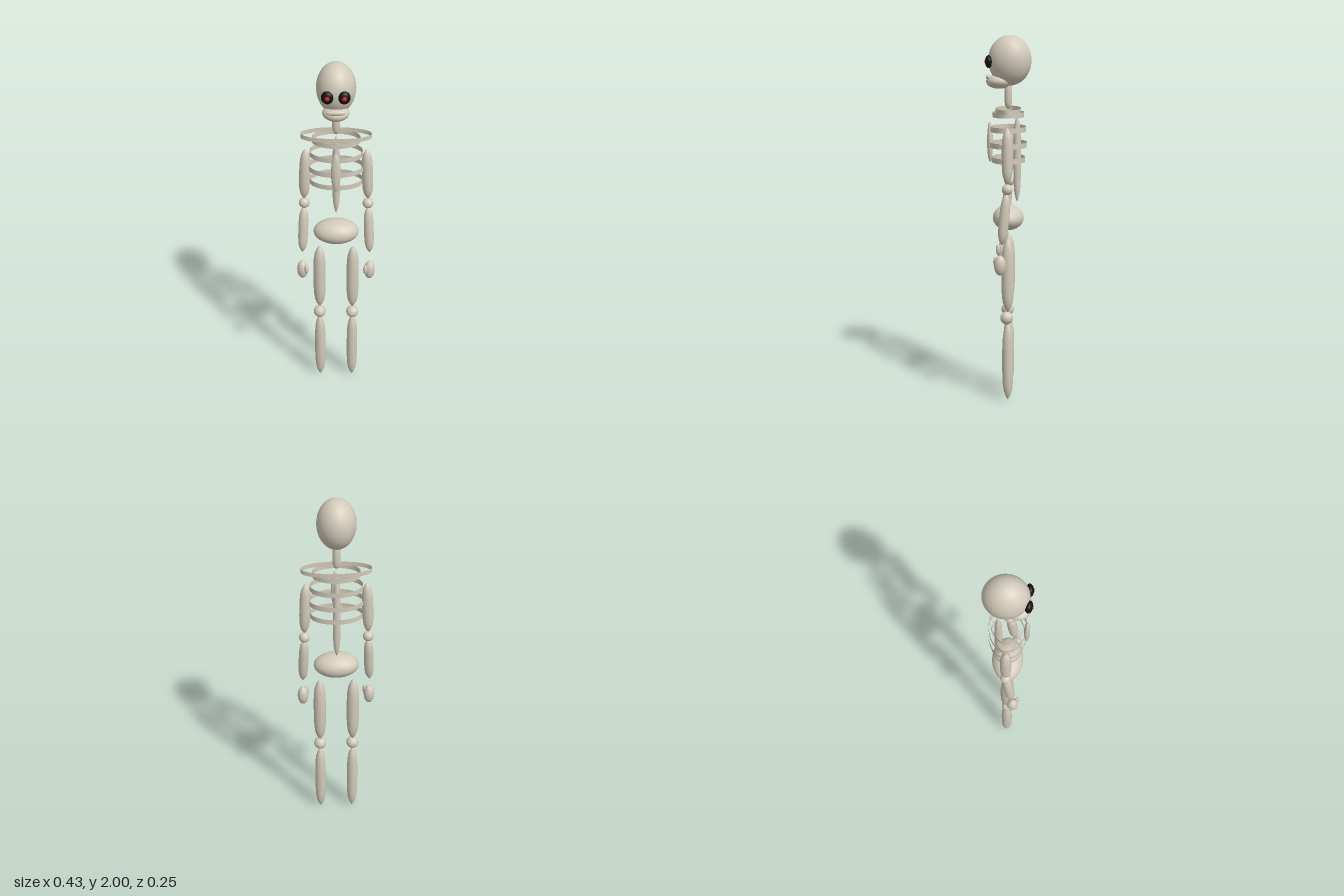
import * as THREE from 'three';

export function createModel() {
  const model = new THREE.Group();
  model.name = 'skeleton';

  const mat = (name, color, side = THREE.FrontSide) => {
    const m = new THREE.MeshStandardMaterial({ color, side });
    m.name = name;
    return m;
  };
  const bone = mat('bone', 0xd3cbba, THREE.DoubleSide);
  const socket = mat('eye socket black', 0x121212);
  const glow = mat('eye red', 0xe82020);

  const add = (name, geometry, material, pos) => {
    const mesh = new THREE.Mesh(geometry, material);
    mesh.name = name;
    mesh.position.set(...pos);
    model.add(mesh);
    return mesh;
  };

  // Rounded lump with a radius for each axis
  const ball = (name, pos, [rx, ry, rz], material = bone) =>
    add(name, new THREE.SphereGeometry(1, 32, 20).scale(rx, ry, rz), material, pos);

  // Long bone: full in the middle, pointed at both ends, running from a to b
  const profile = [[0, 0], [0.03, 0.27], [0.07, 0.53], [0.13, 0.77], [0.22, 0.92], [0.35, 0.99], [0.5, 1]];
  const outline = [...profile, ...profile.slice(0, -1).reverse().map(([t, r]) => [1 - t, r])];
  const longBone = (name, from, to, radius) => {
    const a = new THREE.Vector3(...from), b = new THREE.Vector3(...to);
    const length = a.distanceTo(b);
    const points = outline.map(([t, r]) => new THREE.Vector2(r * radius, (t - 0.5) * length));
    const mesh = add(name, new THREE.LatheGeometry(points, 18), bone, a.clone().add(b).multiplyScalar(0.5).toArray());
    mesh.quaternion.setFromUnitVectors(new THREE.Vector3(0, 1, 0), b.sub(a).normalize());
    return mesh;
  };

  // Thin oval band, open above and below
  const band = (name, y, rx, rz, height) =>
    add(name, new THREE.CylinderGeometry(1, 1, height, 40, 1, true).scale(rx, 1, rz), bone, [0, y, 0]);

  // Head
  ball('skull', [0, 1.866, -0.008], [0.102, 0.134, 0.116]);
  ball('jaw', [0, 1.754, 0.05], [0.07, 0.039, 0.069]);
  ball('teeth', [0, 1.777, 0.105], [0.05, 0.014, 0.014]);

  // Neck, spine and breastbone
  longBone('neck', [0, 1.605, 0], [0, 1.76, 0], 0.021);
  longBone('spine', [0, 1.1, -0.048], [0, 1.575, -0.048], 0.021);
  ball('breastbone', [0, 1.43, 0.099], [0.025, 0.11, 0.016]);

  // Collar and ribs
  band('collarBand', 1.6, 0.185, 0.068, 0.024);
  band('upperRib', 1.578, 0.126, 0.085, 0.027);
  band('rib1', 1.5, 0.14, 0.096, 0.028);
  band('rib2', 1.416, 0.146, 0.1, 0.028);
  band('rib3', 1.336, 0.14, 0.09, 0.028);

  // Pelvis
  ball('pelvis', [0, 1.014, 0], [0.124, 0.068, 0.085]);

  for (const [side, s] of [['left', 1], ['right', -1]]) {
    // Eyes
    ball(side + 'EyeSocket', [s * 0.043, 1.86, 0.103], [0.031, 0.034, 0.019], socket).rotation.y = s * 0.15;
    ball(side + 'Eye', [s * 0.042, 1.86, 0.116], [0.014, 0.014, 0.009], glow);

    // Arm and hand
    longBone(side + 'UpperArm', [s * 0.172, 1.22, 0], [s * 0.16, 1.52, 0], 0.03);
    ball(side + 'Elbow', [s * 0.172, 1.193, 0], [0.029, 0.029, 0.029]);
    longBone(side + 'Forearm', [s * 0.185, 0.895, 0.03], [s * 0.173, 1.172, 0.004], 0.027);
    ball(side + 'Hand', [s * 0.186, 0.785, 0.039], [0.03, 0.055, 0.032]);
    ball(side + 'Thumb', [s * 0.163, 0.8, 0.063], [0.012, 0.03, 0.013]);

    // Leg
    longBone(side + 'Thigh', [s * 0.093, 0.5, 0], [s * 0.093, 0.915, 0], 0.035);
    ball(side + 'Knee', [s * 0.093, 0.469, 0.006], [0.035, 0.035, 0.035]);
    longBone(side + 'Shin', [s * 0.093, 0, 0], [s * 0.093, 0.44, 0], 0.031);
  }

  return model;
}
